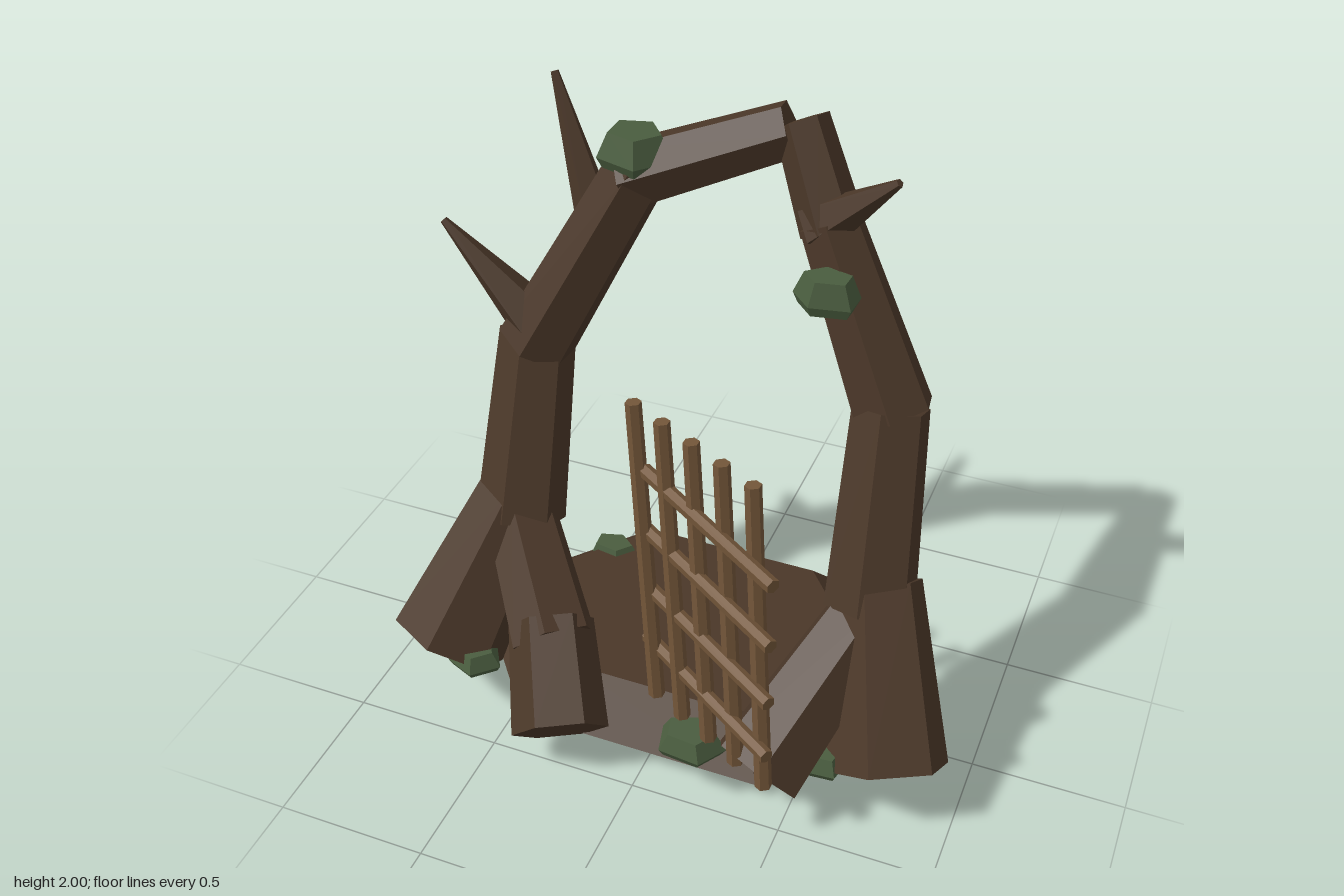
import * as THREE from 'three';

const mat = (name, color) => {
  const m = new THREE.MeshStandardMaterial({ color, flatShading: true });
  m.name = name;
  return m;
};

export function createModel() {
  const model = new THREE.Group();
  model.name = 'rootArch';
  const bark = mat('bark', 0x4a3728);
  const cane = mat('cane', 0x735639);
  const moss = mat('moss', 0x4a5d3f);

  const add = (name, geometry, material, parent = model) => {
    const mesh = new THREE.Mesh(geometry, material);
    mesh.name = name;
    parent.add(mesh);
    return mesh;
  };

  // Tapered six-sided limb running from a to b
  const limb = (name, a, b, ra, rb, material = bark, parent = model, sides = 6) => {
    const start = new THREE.Vector3(...a), end = new THREE.Vector3(...b);
    const dir = end.clone().sub(start);
    const mesh = add(name, new THREE.CylinderGeometry(rb, ra, dir.length(), sides), material, parent);
    mesh.position.copy(start).add(end).multiplyScalar(0.5);
    mesh.quaternion.setFromUnitVectors(new THREE.Vector3(0, 1, 0), dir.normalize());
    return mesh;
  };

  // Faceted slab from a profile of [radius, y] points
  const slab = (name, profile, sides, turn, material) => add(name, new THREE.LatheGeometry(
    profile.map(([r, y]) => new THREE.Vector2(r, y)), sides, turn), material);

  // Hexagonal ground slab, widest just above the floor
  const base = slab('groundSlab',
    [[0, 0], [0.84, 0], [1, 0.065], [0.73, 0.22], [0, 0.22]], 6, Math.PI / 6, bark);
  base.scale.set(0.835, 1, 0.59);
  base.position.set(-0.025, 0, -0.105);

  // Legs and outer roots, mirrored
  for (const [side, s] of [['right', -1], ['left', 1]]) {
    const topX = s < 0 ? -0.63 : 0.565;
    limb(side + 'OuterRoot', [s * 0.775, 0.17, 0.27], [s * 0.62, 0.64, -0.04], 0.2, 0.145);
    limb(side + 'Leg', [s * 0.61, 0.57, 0], [topX, 1.16, -0.245], 0.15, 0.125);
  }

  // Front roots
  limb('rightFrontRootUpper', [-0.61, 0.58, 0], [-0.36, 0.33, 0.29], 0.125, 0.145);
  limb('rightFrontRootLower', [-0.39, 0.37, 0.25], [-0.25, 0.155, 0.5], 0.14, 0.157);
  limb('leftFrontRoot', [0.61, 0.55, 0], [0.4, 0.17, 0.43], 0.125, 0.16);

  // Bent arch over the legs
  limb('rightArchLower', [-0.63, 1.12, -0.22], [-0.31, 1.75, -0.36], 0.13, 0.105);
  limb('archCrown', [-0.35, 1.72, -0.35], [0.14, 1.915, -0.46], 0.11, 0.09);
  limb('leftArchUpper', [0.17, 1.95, -0.46], [0.31, 1.66, -0.37], 0.085, 0.1);
  limb('leftArchLower', [0.3, 1.69, -0.37], [0.575, 1.14, -0.25], 0.1, 0.132);

  // Thorn-like branch stubs
  [
    [[-0.59, 1.17, -0.22], [-0.925, 1.52, -0.21], 0.1],
    [[-0.45, 1.58, -0.33], [-0.615, 1.985, -0.43], 0.065],
    [[0.27, 1.67, -0.36], [0.525, 1.9, -0.28], 0.085],
  ].forEach(([a, b, r], i) => limb('thorn' + (i + 1), a, b, r, 0.013, bark, model, 5));

  // Leaning trellis: five uprights and four rails
  const trellis = new THREE.Group();
  trellis.name = 'trellis';
  model.add(trellis);
  for (let i = 0; i < 5; i++) {
    limb('upright' + (i + 1), [0.01 + i * 0.113, 0.245, 0.31 + i * 0.06],
      [-0.08 + i * 0.114, 1.33, 0.24 + i * 0.059], 0.027, 0.025, cane, trellis);
  }
  [0.43, 0.65, 0.875, 1.1].forEach((y, i) =>
    limb('rail' + (i + 1), [-0.045, y, 0.25], [0.485, y, 0.6], 0.023, 0.023, cane, trellis));

  // Moss clumps: position of underside, x radius, height, z radius, turn
  [
    [-0.315, 1.765, -0.345, 0.125, 0.115, 0.11, 0.3],
    [0.355, 1.49, -0.205, 0.11, 0.11, 0.075, 0.9],
    [0.17, 0.16, 0.42, 0.12, 0.085, 0.09, 0.5],
    [-0.64, 0.165, 0.33, 0.095, 0.075, 0.085, 0.2],
    [0.59, 0.165, 0.33, 0.08, 0.075, 0.085, 0.7],
    [-0.43, 0.16, -0.34, 0.1, 0.08, 0.07, 0.4],
  ].forEach(([x, y, z, rx, h, rz, turn], i) => {
    const clump = slab('mossClump' + (i + 1),
      [[0, 0], [0.85, 0], [1, 0.3], [0.7, 1], [0, 1]], 5, turn, moss);
    clump.scale.set(rx, h, rz);
    clump.position.set(x, y, z);
  });

  return model;
}
